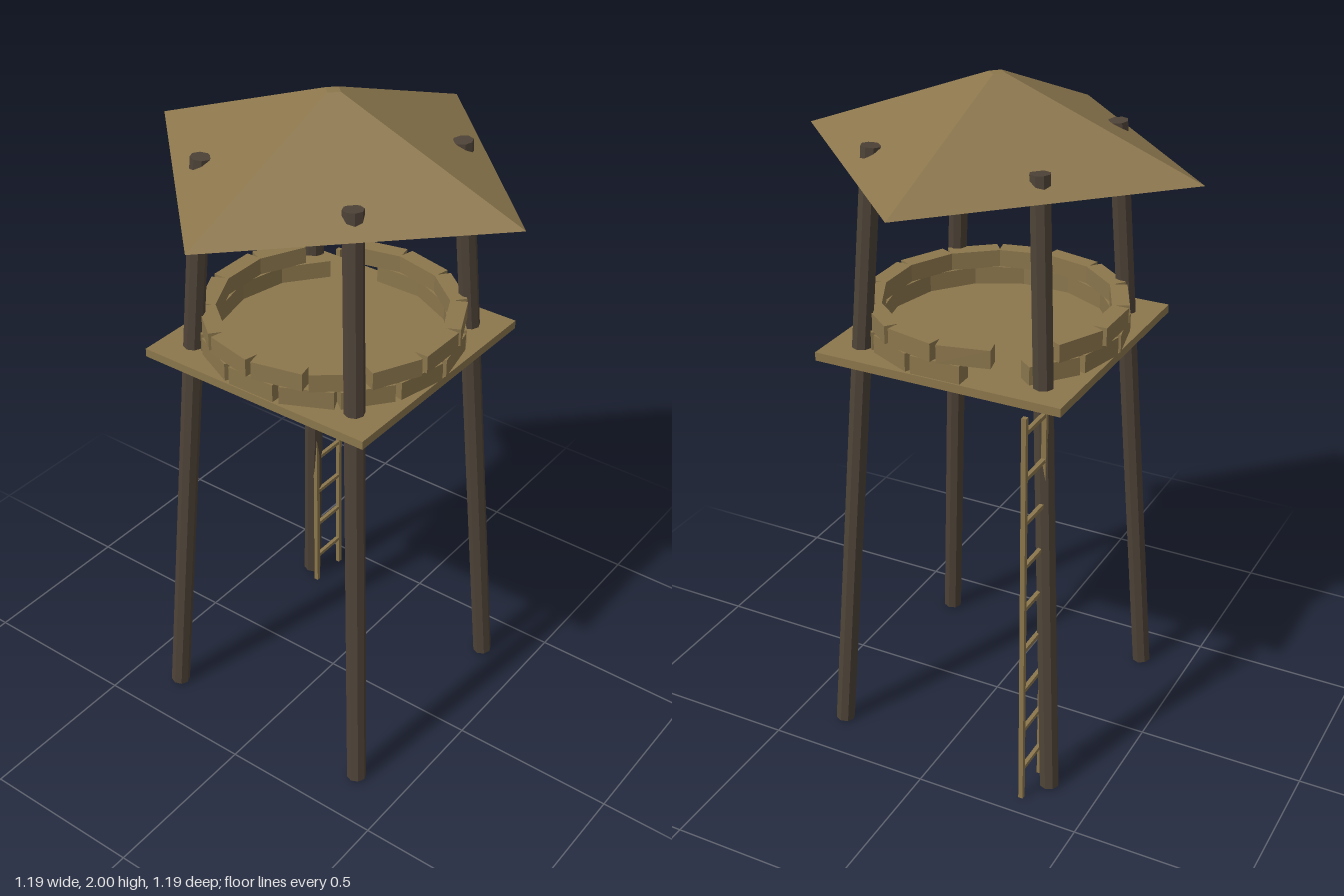
import * as THREE from 'three';

export function createModel() {
  const model = new THREE.Group();
  model.name = 'watchtower';

  const wood = new THREE.MeshStandardMaterial({ color: 0x8b764c, flatShading: true });
  wood.name = 'light wood';
  const log = new THREE.MeshStandardMaterial({ color: 0x4d4237, flatShading: true });
  log.name = 'dark log';

  function add(parent, name, geometry, material, x = 0, y = 0, z = 0) {
    const mesh = new THREE.Mesh(geometry, material);
    mesh.name = name;
    mesh.position.set(x, y, z);
    parent.add(mesh);
    return mesh;
  }

  // Four-sided roof with a tiny flat tip, corners on the axes
  add(model, 'roof', new THREE.CylinderGeometry(0.025, 0.595, 0.22, 4), wood, 0, 1.89, 0);

  // Four posts leaning inward and poking through the roof
  const up = new THREE.Vector3(0, 1, 0);
  for (const sx of [-1, 1]) {
    for (const sz of [-1, 1]) {
      const foot = new THREE.Vector3(sx * 0.35, 0.005, sz * 0.35);
      const head = new THREE.Vector3(sx * 0.246, 1.835, sz * 0.246);
      const axis = head.clone().sub(foot);
      const post = add(model, 'post', new THREE.CylinderGeometry(0.029, 0.029, axis.length(), 8), log);
      post.position.copy(foot).add(head).multiplyScalar(0.5);
      post.quaternion.setFromUnitVectors(up, axis.normalize());
    }
  }

  // Square platform
  add(model, 'platform', new THREE.BoxGeometry(0.746, 0.025, 0.746), wood, 0, 1.2475, 0);

  // Parapet: two staggered rings of blocks, left open by the ladder
  const parapet = new THREE.Group();
  parapet.name = 'parapet';
  model.add(parapet);
  const count = 14;
  const block = new THREE.BoxGeometry(0.05, 0.053, 0.15);
  for (let row = 0; row < 2; row++) {
    for (let i = 0; i < count; i++) {
      if (i === 1) continue; // opening
      const a = ((i + row * 0.5) / count) * Math.PI * 2;
      const b = add(parapet, 'parapetBlock', block, wood,
        Math.cos(a) * 0.344, 1.2865 + row * 0.052, -Math.sin(a) * 0.344);
      b.rotation.y = a;
    }
  }

  // Ladder beside the back left post
  const ladder = new THREE.Group();
  ladder.name = 'ladder';
  ladder.position.z = -0.3;
  model.add(ladder);
  for (const x of [0.31, 0.433]) {
    add(ladder, 'rail', new THREE.BoxGeometry(0.014, 1.245, 0.014), wood, x, 0.6225, 0);
  }
  for (let i = 0; i < 9; i++) {
    add(ladder, 'rung', new THREE.BoxGeometry(0.123, 0.012, 0.012), wood, 0.3715, 0.103 + i * 0.137, 0);
  }

  return model;
}
